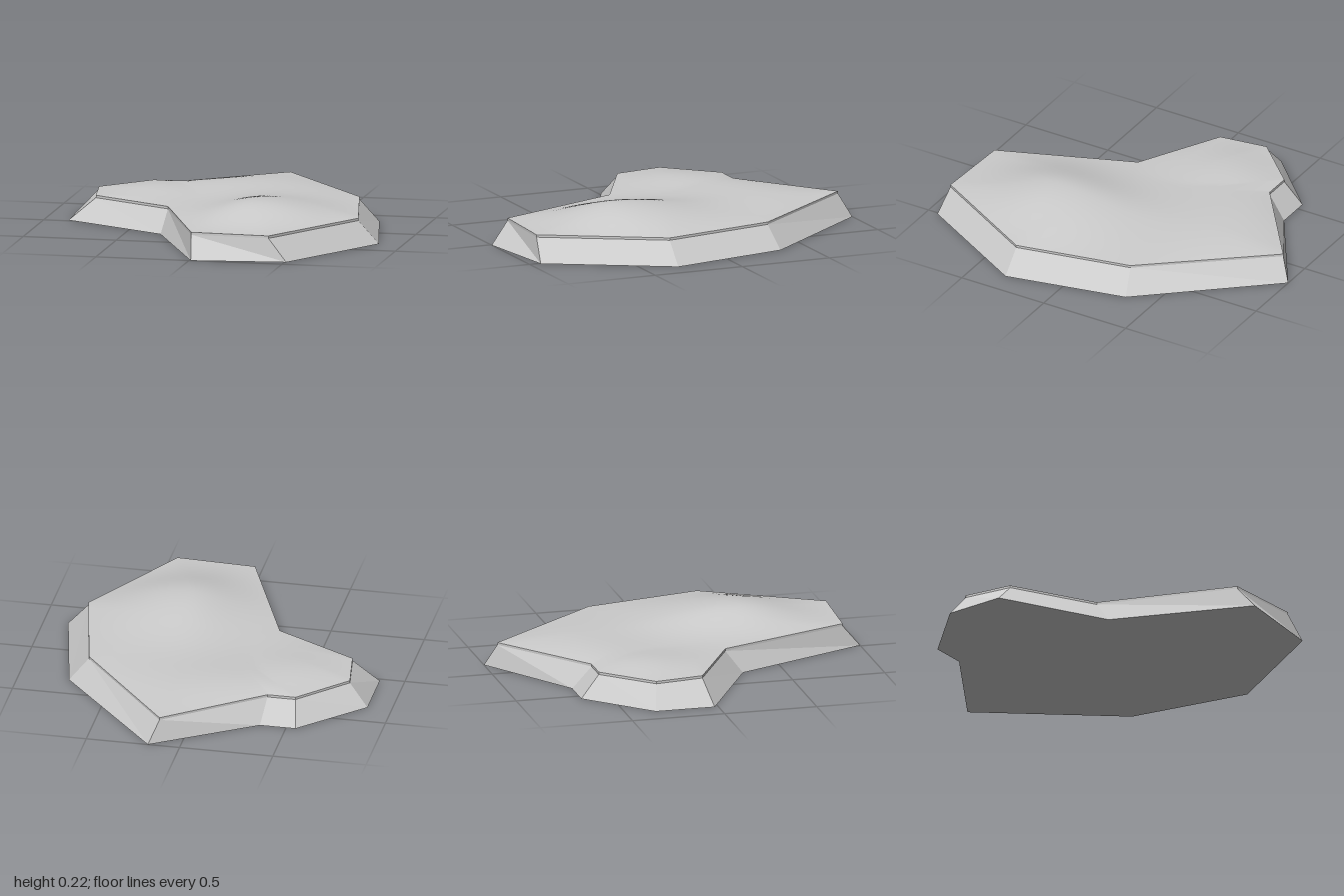
import * as THREE from 'three';

// Outlines as [x, z], running clockwise seen from above
const FOOT = [[0.17, -1], [0.73, -0.34], [0.87, 0.31], [0.51, 0.94], [0.01, 1],
  [-0.31, 0.28], [-0.87, -0.02], [-0.87, -0.34], [-0.55, -0.66], [-0.36, -0.66]];
const RIM = [[0.12, -0.94], [0.63, -0.31], [0.76, 0.31], [0.41, 0.92], [-0.01, 0.9],
  [-0.29, 0.19], [-0.73, -0.05], [-0.77, -0.31], [-0.53, -0.56], [-0.38, -0.56]];
const CENTER = [0.1, 0.05];
const RIM_Y = 0.12, EDGE_Y = 0.133;

function makeMesh(name, positions, index, flat) {
  const geometry = new THREE.BufferGeometry();
  geometry.setAttribute('position', new THREE.Float32BufferAttribute(positions, 3));
  geometry.setIndex(index);
  geometry.computeVertexNormals();
  const mesh = new THREE.Mesh(geometry,
    new THREE.MeshStandardMaterial({ color: 0xcccccc, flatShading: flat }));
  mesh.name = name;
  return mesh;
}

// Joins two outlines at different heights with a faceted wall
function wall(name, lower, y0, upper, y1) {
  const n = lower.length, positions = [], index = [];
  lower.forEach(([x, z]) => positions.push(x, y0, z));
  upper.forEach(([x, z]) => positions.push(x, y1, z));
  for (let i = 0; i < n; i++) {
    const j = (i + 1) % n;
    index.push(i, n + i, n + j, i, n + j, j);
  }
  return makeMesh(name, positions, index, true);
}

const bump = (d, s) => Math.exp(-d * d / (2 * s * s));

// Ground height: a main hill, a low ridge behind it, settling to the rim
function height(x, z, t) {
  const dx = x - 0.23, dz = z - 0.37;
  const hill = 0.087 * bump(dx, dx < 0 ? 0.19 : 0.28) * bump(dz, dz < 0 ? 0.32 : 0.24);
  const ridge = 0.029 * Math.max(bump(x + 0.48, 0.2) * bump(z + 0.3, 0.2),
    bump(x + 0.1, 0.4) * bump(z + 0.52, 0.25));
  return EDGE_Y + (hill + ridge) * (1 - t ** 7);
}

// Rolling top made of rings growing from the centre to the rim
function ground() {
  const rings = 28, perEdge = 10, loop = [];
  RIM.forEach(([x, z], i) => {
    const [x2, z2] = RIM[(i + 1) % RIM.length];
    for (let k = 0; k < perEdge; k++) {
      const f = k / perEdge;
      loop.push([x + (x2 - x) * f, z + (z2 - z) * f]);
    }
  });
  const n = loop.length, [cx, cz] = CENTER;
  const positions = [cx, height(cx, cz, 0), cz], index = [];
  for (let r = 1; r <= rings; r++) {
    const t = r / rings;
    loop.forEach(([lx, lz], i) => {
      const x = cx + (lx - cx) * t, z = cz + (lz - cz) * t, j = (i + 1) % n;
      positions.push(x, height(x, z, t), z);
      const a = 1 + (r - 1) * n + i, b = 1 + (r - 1) * n + j;
      if (r === 1) index.push(0, b, a);
      else index.push(a, a - n, b - n, a, b - n, b);
    });
  }
  return makeMesh('ground', positions, index, false);
}

// Flat underside
function underside() {
  const n = FOOT.length, positions = [CENTER[0], 0, CENTER[1]], index = [];
  FOOT.forEach(([x, z], i) => {
    positions.push(x, 0, z);
    index.push(0, 1 + i, 1 + (i + 1) % n);
  });
  return makeMesh('underside', positions, index, true);
}

export function createModel() {
  const group = new THREE.Group();
  group.name = 'terrainPlateau';
  group.add(
    wall('slopedSides', FOOT, 0, RIM, RIM_Y),
    wall('rimLip', RIM, RIM_Y, RIM, EDGE_Y),
    ground(),
    underside());
  return group;
}
